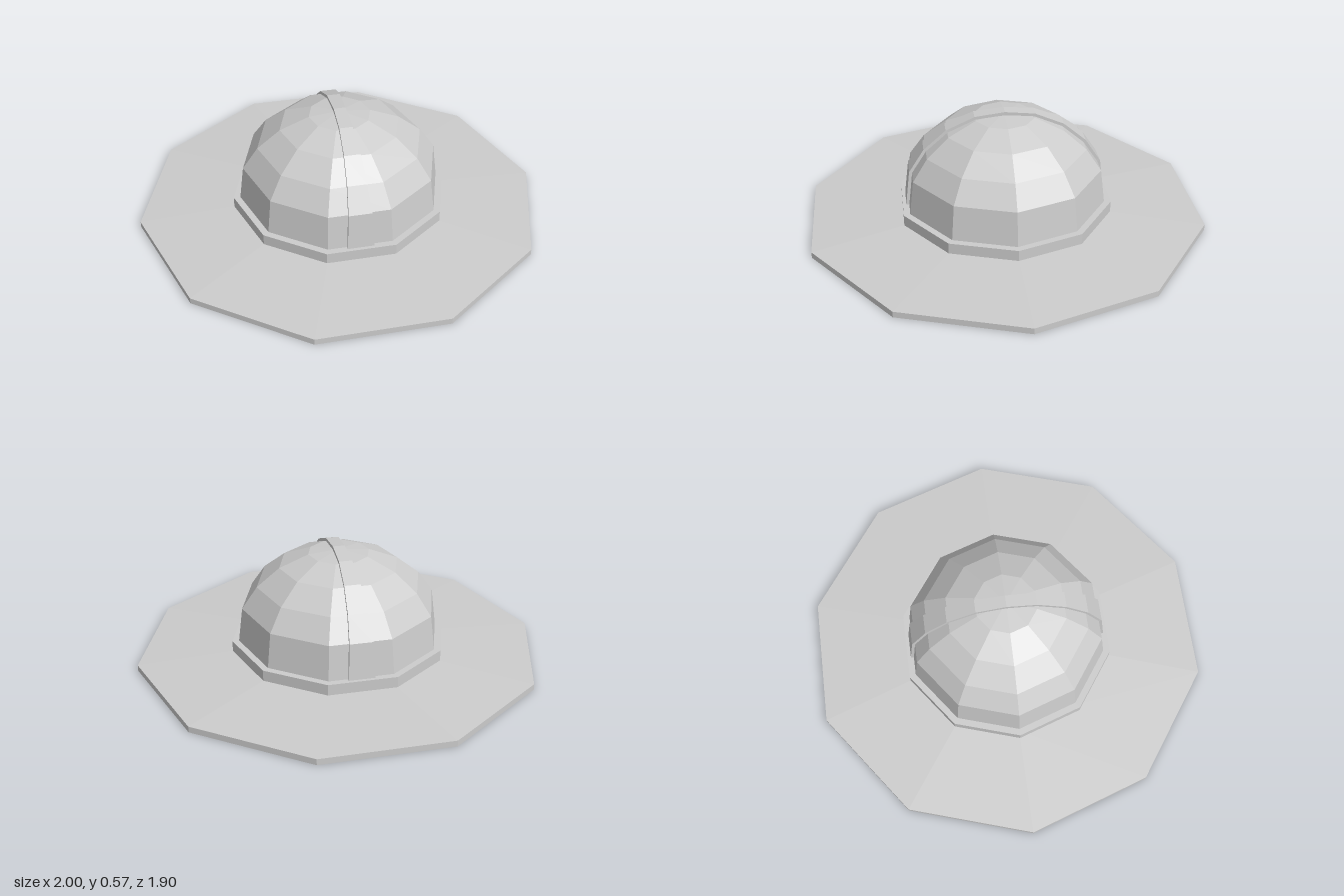
import * as THREE from 'three';

const SIDES = 10;
const material = new THREE.MeshStandardMaterial({
  color: 0xcccccc, flatShading: true, side: THREE.DoubleSide,
});

// Ten-sided ring from a [radius, height] profile, with a corner on the x axis
function turned(name, profile) {
  const points = profile.map(([r, y]) => new THREE.Vector2(r, y));
  const mesh = new THREE.Mesh(new THREE.LatheGeometry(points, SIDES, Math.PI / 2), material);
  mesh.name = name;
  return mesh;
}

// Solid ridge running front to back; each station is [z, y, halfWidth, normalZ, normalY]
function ridge(stations, outer, inner) {
  const positions = [], index = [];
  for (const [z, y, w, nz, ny] of stations) {
    for (const [side, d] of [[-1, outer], [1, outer], [1, inner], [-1, inner]]) {
      positions.push(side * w, y + ny * d, z + nz * d);
    }
  }
  const last = (stations.length - 1) * 4;
  for (let s = 0; s < last; s += 4) {
    for (let k = 0; k < 4; k++) {
      const a = s + k, b = s + (k + 1) % 4;
      index.push(a, b, a + 4, b, b + 4, a + 4);
    }
  }
  index.push(0, 2, 1, 0, 3, 2, last, last + 1, last + 2, last, last + 2, last + 3);
  const geometry = new THREE.BufferGeometry();
  geometry.setAttribute('position', new THREE.Float32BufferAttribute(positions, 3));
  geometry.setIndex(index);
  geometry.computeVertexNormals();
  const mesh = new THREE.Mesh(geometry, material);
  mesh.name = 'crownRidge';
  return mesh;
}

export function createModel() {
  const hat = new THREE.Group();
  hat.name = 'hat';

  // Wide brim, sloping gently up to the crown, open in the middle
  hat.add(turned('brim', [[0.5, 0], [1, 0], [1, 0.03], [0.5, 0.055], [0.5, 0]]));

  // Band around the foot of the crown
  hat.add(turned('band', [[0.5, 0.05], [0.535, 0.05], [0.535, 0.108], [0.5, 0.108], [0.5, 0.05]]));

  // Domed crown with an inner shell
  const dome = [[0.502, 0.108], [0.48, 0.28], [0.405, 0.388], [0.293, 0.478], [0.15, 0.536], [0, 0.551]];
  const lining = [[0, 0.515], [0.14, 0.5], [0.27, 0.445], [0.37, 0.365], [0.44, 0.27], [0.46, 0.108], [0.46, 0.065]];
  hat.add(turned('crown', [...lining, [0.502, 0.065], ...dome]));

  // Raised ridge over the crown, narrowing towards the top
  const flat = Math.cos(Math.PI / SIDES);
  const widths = [0.063, 0.056, 0.047, 0.039, 0.032, 0.029];
  const angles = [0, 0.3, 0.7, 1.0, 1.3, Math.PI / 2];
  const half = dome.map(([r, y], i) =>
    [r * flat, y, widths[i], Math.cos(angles[i]), Math.sin(angles[i])]);
  const back = half.slice(0, -1).reverse().map(([z, y, w, nz, ny]) => [-z, y, w, -nz, ny]);
  hat.add(ridge([...half, ...back], 0.015, -0.048));

  return hat;
}
